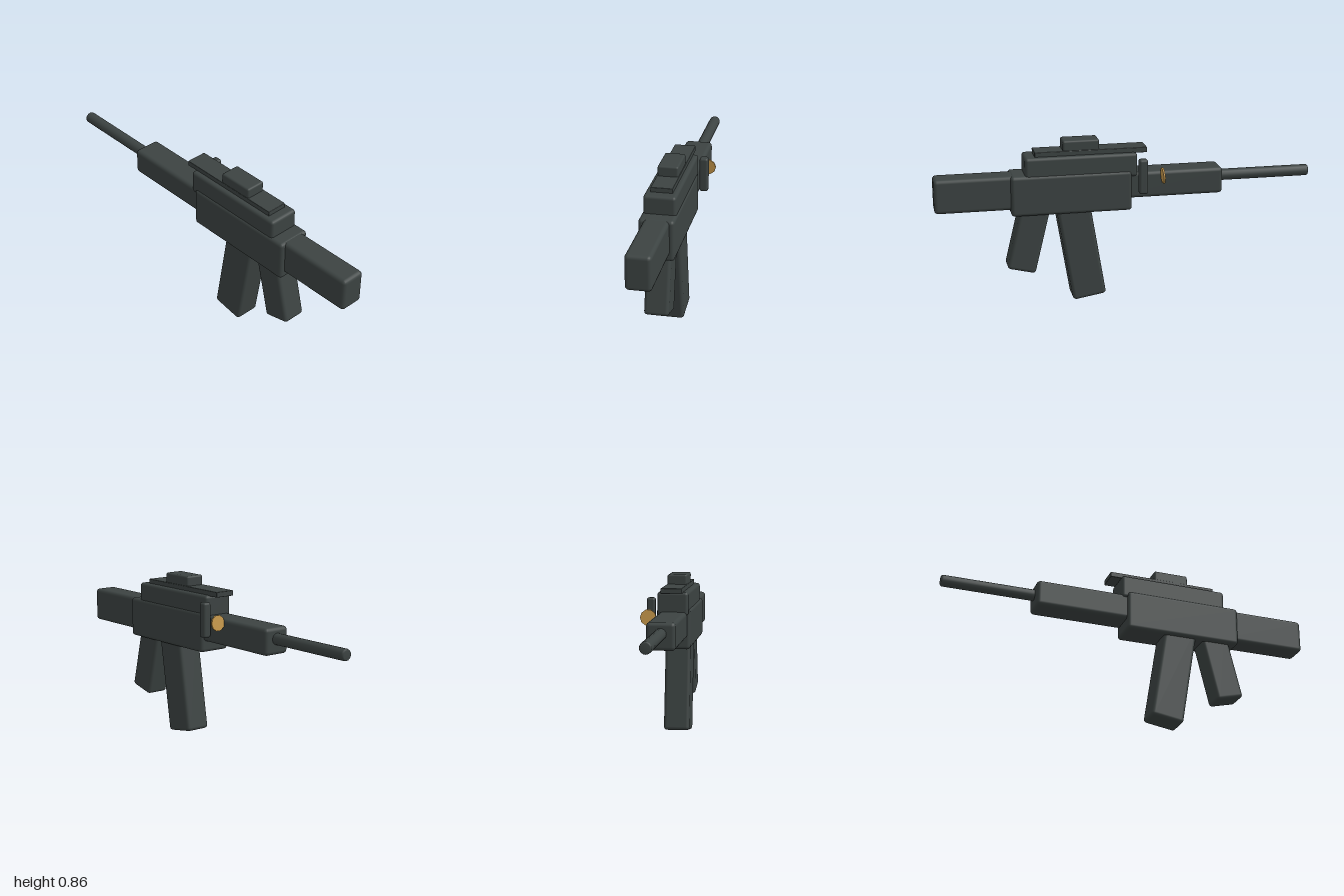
import * as THREE from 'three';
import { RoundedBoxGeometry } from 'three/addons/geometries/RoundedBoxGeometry.js';

const gunmetal = new THREE.MeshStandardMaterial({ color: 0x3c4342 });
gunmetal.name = 'gunmetal';
const brass = new THREE.MeshStandardMaterial({ color: 0xc8994b });
brass.name = 'brass';

const CX = -0.03; // centre line of the body

export function createModel() {
  const group = new THREE.Group();

  const add = (name, geometry, material, x, y, z, tilt = 0) => {
    const mesh = new THREE.Mesh(geometry, material);
    mesh.name = name;
    mesh.position.set(x, y, z);
    mesh.rotation.x = tilt;
    group.add(mesh);
    return mesh;
  };

  // Bevelled block given by its extents
  const block = (name, [x0, x1], [y0, y1], [z0, z1], bevel) =>
    add(name, new RoundedBoxGeometry(x1 - x0, y1 - y0, z1 - z0, 2, bevel), gunmetal,
      (x0 + x1) / 2, (y0 + y1) / 2, (z0 + z1) / 2);

  // Bevelled block leaning from the centre of its bottom face
  const leaning = (name, width, length, depth, y, z, tilt) =>
    add(name, new RoundedBoxGeometry(width, length, depth, 2, 0.018), gunmetal,
      CX, y + Math.cos(tilt) * length / 2, z + Math.sin(tilt) * length / 2, tilt);

  // Body
  block('stock', [-0.095, 0.034], [0.52, 0.7], [0.55, 1.0], 0.02);
  block('lowerReceiver', [-0.12, 0.058], [0.49, 0.702], [-0.02, 0.61], 0.018);
  block('upperReceiver', [-0.112, 0.051], [0.67, 0.794], [-0.05, 0.535], 0.016);
  block('handguard', [-0.104, 0.042], [0.55, 0.69], [-0.51, 0.05], 0.02);
  block('topRail', [-0.085, 0.025], [0.79, 0.818], [-0.105, 0.482], 0.003);
  block('sight', [-0.083, 0.022], [0.8, 0.87], [0.145, 0.335], 0.01);

  // Grip and magazine
  leaning('grip', 0.126, 0.38, 0.152, 0.183, 0.564, -0.24);
  leaning('magazine', 0.138, 0.55, 0.178, 0.017, 0.203, 0.163);

  // Barrel with a bevelled muzzle
  const r = 0.03;
  const profile = [[0, 0], [r, 0], [r, 0.51], [r * 0.93, 0.517], [r * 0.75, 0.52], [0, 0.52]]
    .map(([x, y]) => new THREE.Vector2(x, y));
  add('barrel', new THREE.LatheGeometry(profile, 16), gunmetal, CX, 0.632, -0.48, -Math.PI / 2);

  // Charging handle and brass disc on the left side
  block('chargingHandle', [0.054, 0.099], [0.584, 0.768], [-0.096, -0.05], 0.012);
  const disc = new THREE.CylinderGeometry(0.042, 0.042, 0.009, 10);
  disc.rotateY(Math.PI / 10);
  add('brassDisc', disc, brass, 0.078, 0.675, -0.178, Math.PI / 2 + 0.08);

  return group;
}
